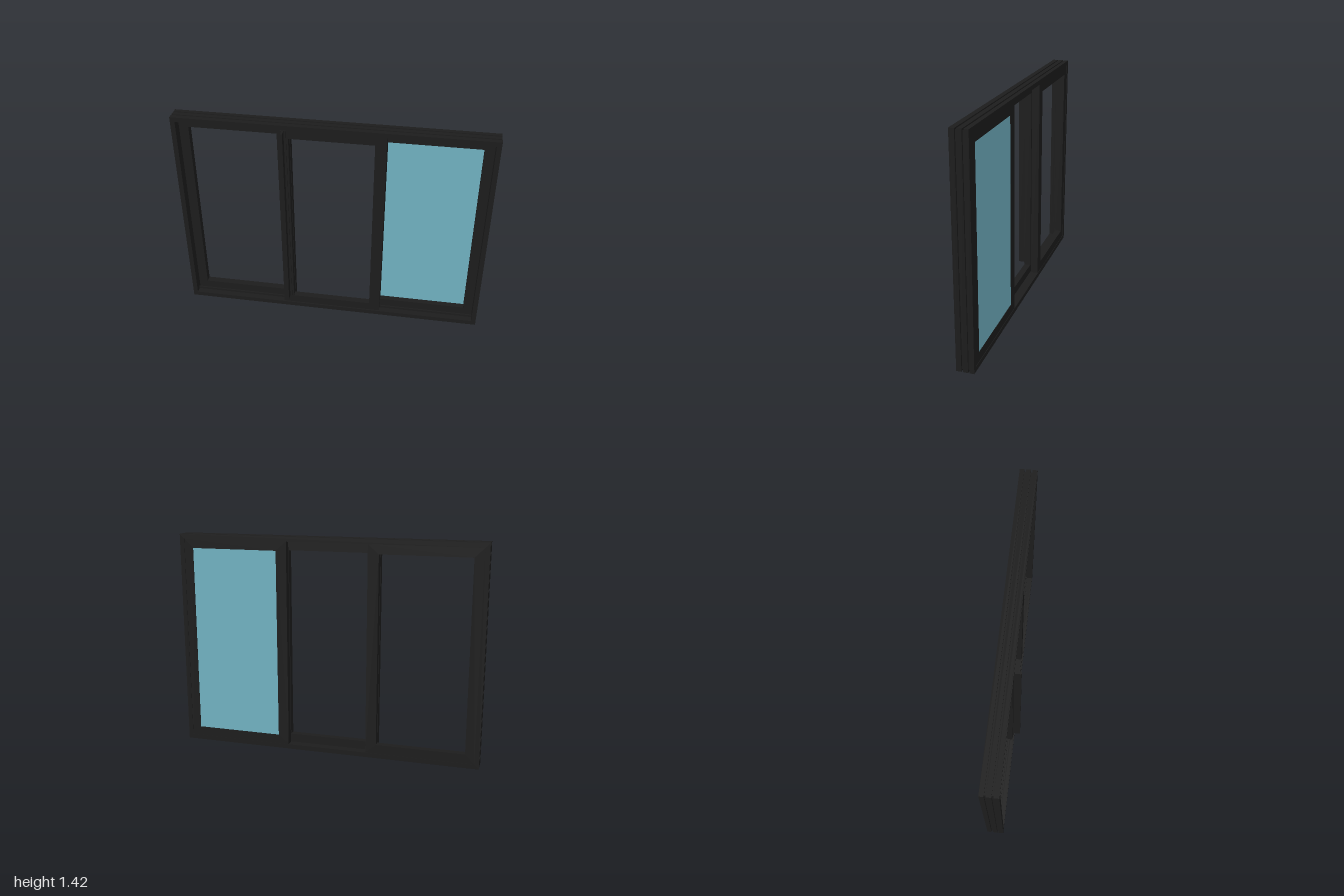
import * as THREE from 'three';

const H = 1.42;
const dark = new THREE.MeshStandardMaterial({ color: 0x1c1c1c });
const blue = new THREE.MeshStandardMaterial({ color: 0x70b0c0 });

// Rectangular ring: outer [x0, y0, x1, y1], inner opening likewise, from z0 to z1
function ring(name, outer, inner, z0, z1) {
  const trace = (p, [x0, y0, x1, y1]) =>
    p.moveTo(x0, y0).lineTo(x1, y0).lineTo(x1, y1).lineTo(x0, y1).closePath();
  const shape = trace(new THREE.Shape(), outer);
  shape.holes.push(trace(new THREE.Path(), inner));
  const geo = new THREE.ExtrudeGeometry(shape, { depth: z1 - z0, bevelEnabled: false });
  geo.translate(0, 0, z0);
  const mesh = new THREE.Mesh(geo, dark);
  mesh.name = name;
  return mesh;
}

function box(name, [x0, x1], [y0, y1], [z0, z1], mat = dark) {
  const mesh = new THREE.Mesh(new THREE.BoxGeometry(x1 - x0, y1 - y0, z1 - z0), mat);
  mesh.position.set((x0 + x1) / 2, (y0 + y1) / 2, (z0 + z1) / 2);
  mesh.name = name;
  return mesh;
}

// Rectangle inset from the full window outline
const inset = (d) => [-1 + d, d, 1 - d, H - d];

export function createModel() {
  const model = new THREE.Group();
  model.name = 'slidingWindow';

  // Outer frame: three ridges separated by shallow grooves
  const frame = new THREE.Group();
  frame.name = 'outerFrame';
  const layers = [
    [-0.073, -0.045, 0], [-0.045, -0.035, 0.012], [-0.035, -0.005, 0],
    [-0.005, 0.005, 0.012], [0.005, 0.03, 0], [0.03, 0.037, 0.012],
  ];
  for (const [z0, z1, d] of layers) frame.add(ring('frameLayer', inset(d), inset(0.03), z0, z1));
  // Thin lip around the front opening
  frame.add(ring('frontLip', inset(0), inset(0.012), 0.03, 0.037));
  // Track rails along the sill and head
  for (const y of [0.03, H - 0.045])
    frame.add(box('trackRail', [-0.97, 0.97], [y, y + 0.015], [-0.014, -0.004]));
  model.add(frame);

  // Side sashes on the rear track
  for (const [side, s] of [['left', 1], ['right', -1]]) {
    const [a, b] = s > 0 ? [0.265, 0.97] : [-0.97, -0.265];
    const [c, d] = s > 0 ? [0.335, 0.91] : [-0.91, -0.335];
    model.add(ring(side + 'Sash', [a, 0.03, b, 1.39], [c, 0.09, d, 1.33], -0.07, -0.025));
  }

  // Middle sash on the front track
  model.add(ring('middleSash', [-0.335, 0.03, 0.335, 1.39], [-0.265, 0.085, 0.265, 1.33], -0.015, 0.028));

  // Interlock strips between the overlapping stiles
  for (const s of [-1, 1])
    model.add(box('interlock', [s * 0.3 - 0.02, s * 0.3 + 0.02], [0.03, 1.39], [-0.03, -0.01]));

  // Upright fin with base strip on the middle sash
  model.add(box('finBase', [-0.315, -0.277], [0.09, 1.385], [0.026, 0.035]));
  model.add(box('fin', [-0.302, -0.29], [0.09, 1.385], [0.026, 0.078]));

  // Glazing of the left sash
  model.add(box('glass', [0.33, 0.915], [0.085, 1.335], [-0.068, -0.062], blue));

  return model;
}
